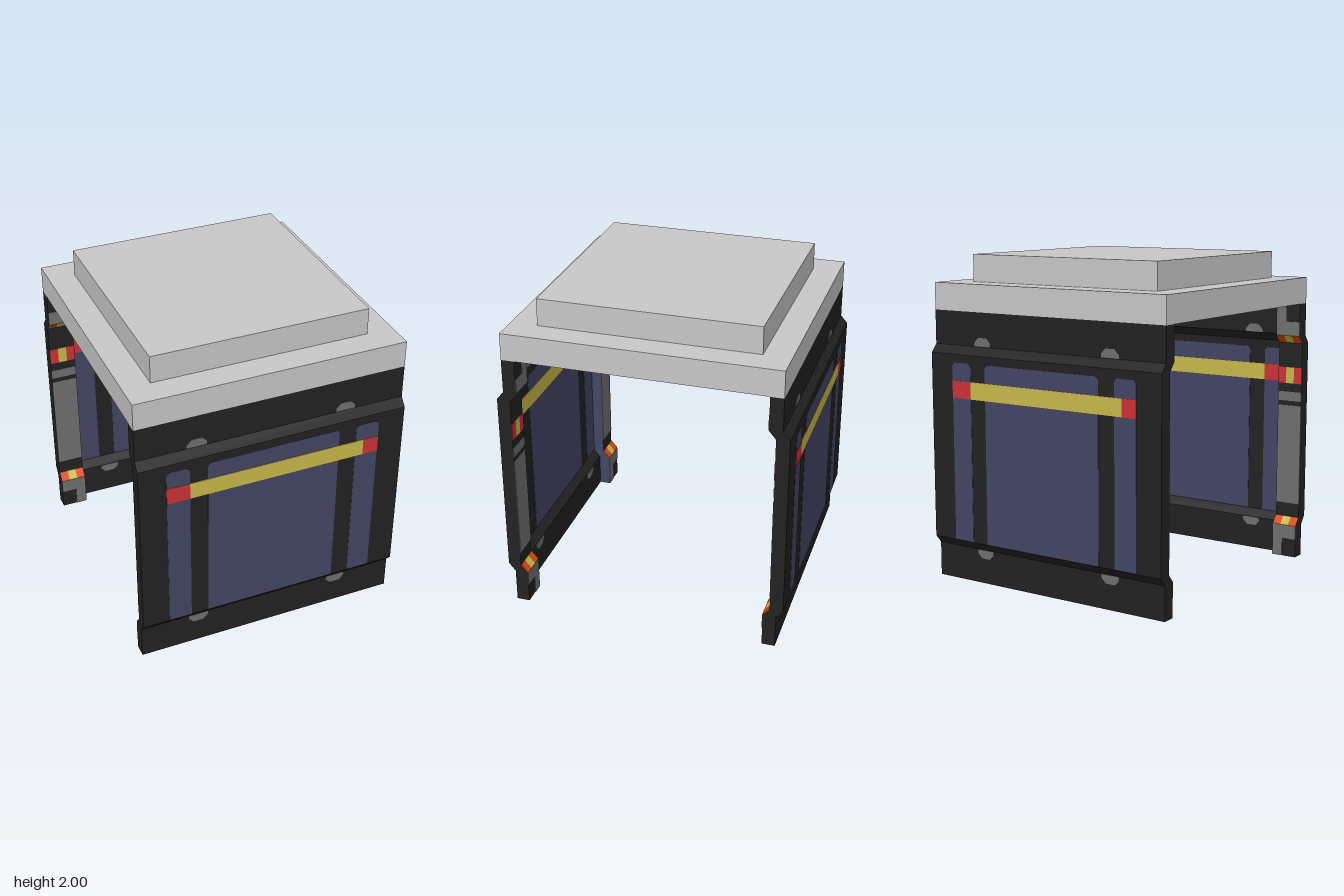
import * as THREE from 'three';

const mat = (name, color, side = THREE.FrontSide) => {
  const m = new THREE.MeshStandardMaterial({ color, side });
  m.name = name;
  return m;
};

// Outer face of a wall, as [z, y] from bottom to top
const PROFILE = [[0.833, 0], [0.833, 0.21], [0.875, 0.26], [0.875, 1.41], [0.833, 1.46], [0.833, 1.667]];
const HALF = 0.833, INNER = 0.667;

function outerZ(y) {
  for (let i = 1; i < PROFILE.length; i++) {
    const [z0, y0] = PROFILE[i - 1], [z1, y1] = PROFILE[i];
    if (y <= y1) return z0 + (z1 - z0) * (y - y0) / (y1 - y0);
  }
  return HALF;
}

// Slab that follows the wall profile between two heights and two depths behind the outer face
function slab(x0, x1, y0, y1, d0, d1) {
  const line = [[outerZ(y0), y0], ...PROFILE.filter(p => p[1] > y0 && p[1] < y1), [outerZ(y1), y1]];
  const pts = [
    ...line.map(([z, y]) => new THREE.Vector2(z - d0, y)),
    ...line.reverse().map(([z, y]) => new THREE.Vector2(z - d1, y)),
  ];
  const g = new THREE.ExtrudeGeometry(new THREE.Shape(pts), { depth: x1 - x0, bevelEnabled: false });
  return g.rotateY(-Math.PI / 2).translate(x1, 0, 0);
}

// Upright plate whose corners are cut at the end y1 (which may be the lower end)
function plate(x0, x1, y0, y1, cut, z) {
  const c = cut * Math.sign(y1 - y0);
  const s = new THREE.Shape([[x0, y0], [x1, y0], [x1, y1 - c], [x1 - cut, y1], [x0 + cut, y1], [x0, y1 - c]]
    .map(p => new THREE.Vector2(...p)));
  return new THREE.ExtrudeGeometry(s, { depth: 0.014, bevelEnabled: false }).translate(0, 0, z - 0.012);
}

export function createModel() {
  const black = mat('black', 0x222222);
  const blue = mat('slate blue', 0x434664);
  const yellow = mat('yellow', 0xc9b94a);
  const red = mat('red', 0xcc3238);
  const grey = mat('mid grey', 0x707070);
  const orange = mat('orange', 0xd9480f);
  const roofGrey = mat('light grey', 0xc8c8c8, THREE.DoubleSide);

  const model = new THREE.Group();
  const add = (parent, name, geometry, material) => {
    const m = new THREE.Mesh(geometry, material);
    m.name = name;
    parent.add(m);
  };

  function buildWall(name) {
    const wall = new THREE.Group();
    wall.name = name;
    add(wall, 'wallPanel', slab(-HALF, HALF, 0, 1.667, 0, 0.01), black);

    // Windows and the stripe across them, showing on both faces
    for (const [x0, x1] of [[-INNER, -0.525], [-0.415, 0.41], [0.52, INNER]])
      add(wall, 'window', plate(x0, x1, 0.262, 1.36, 0.018, 0.875), blue);
    add(wall, 'stripe', slab(-0.525, 0.57, 1.145, 1.25, -0.004, 0.014), yellow);
    add(wall, 'stripeEnd', slab(-INNER, -0.525, 1.145, 1.25, -0.004, 0.014), red);
    add(wall, 'stripeEnd', slab(0.57, INNER, 1.145, 1.25, -0.004, 0.014), red);

    // Small clips above and below
    for (const x of [-0.465, 0.462]) {
      add(wall, 'upperClip', plate(x - 0.061, x + 0.061, 1.462, 1.515, 0.03, 0.833), grey);
      add(wall, 'lowerClip', plate(x - 0.061, x + 0.061, 0.208, 0.155, 0.03, 0.833), grey);
    }

    // End posts with painted inner faces
    for (const side of [-1, 1]) {
      const post = new THREE.Group();
      post.name = side < 0 ? 'rightPost' : 'leftPost';
      wall.add(post);
      // a and b run from the inner edge (0) to the outer edge (1) of the post
      const part = (partName, a, b, y0, y1, d0, d1, material) => {
        const xs = [a, b].map(t => side * (INNER + t * (HALF - INNER))).sort((p, q) => p - q);
        add(post, partName, slab(xs[0], xs[1], y0, y1, d0, d1), material);
      };
      const paint = (a, b, y0, y1, material) => part('postMarking', a, b, y0, y1, 0.08, 0.084, material);

      part('postCore', 0.02, 1, 0.003, 1.667, 0.01, 0.081, black);
      part('postSide', 0, 0.02, 0, 1.145, 0.01, 0.081, blue);
      part('postSide', 0, 0.02, 1.145, 1.25, 0.01, 0.081, red);
      part('postSide', 0, 0.02, 1.25, 1.667, 0.01, 0.081, blue);
      part('postFoot', 0.02, 1, 0, 0.003, 0.01, 0.081, blue);

      paint(0, 0.42, 0, 0.12, grey);
      paint(0, 1, 0.12, 0.21, grey);
      paint(0, 1, 0.35, 1.0, grey);
      paint(0, 1, 1.03, 1.09, grey);
      paint(0, 1, 1.46, 1.55, grey);
      paint(0, 0.42, 1.55, 1.667, grey);
      for (let i = 0; i < 3; i++) {
        const a = i / 3, b = (i + 1) / 3;
        paint(a, b, 0.21, 0.26, i === 1 ? yellow : orange);
        paint(a, b, 1.145, 1.25, i === 1 ? yellow : red);
        paint(a, b, 1.41, 1.46, i === 1 ? yellow : orange);
      }
    }
    model.add(wall);
    return wall;
  }

  buildWall('frontWall');
  buildWall('backWall').rotation.y = Math.PI;

  // Hollow two-step roof, open underneath
  const r = Math.SQRT2;
  const steps = [[HALF, 1.667], [HALF, 1.833], [INNER, 1.833], [INNER, 2], [0, 2]];
  const roof = new THREE.LatheGeometry(steps.map(([x, y]) => new THREE.Vector2(x * r, y)), 4, Math.PI / 4)
    .toNonIndexed();
  roof.computeVertexNormals();
  add(model, 'roof', roof, roofGrey);

  return model;
}
